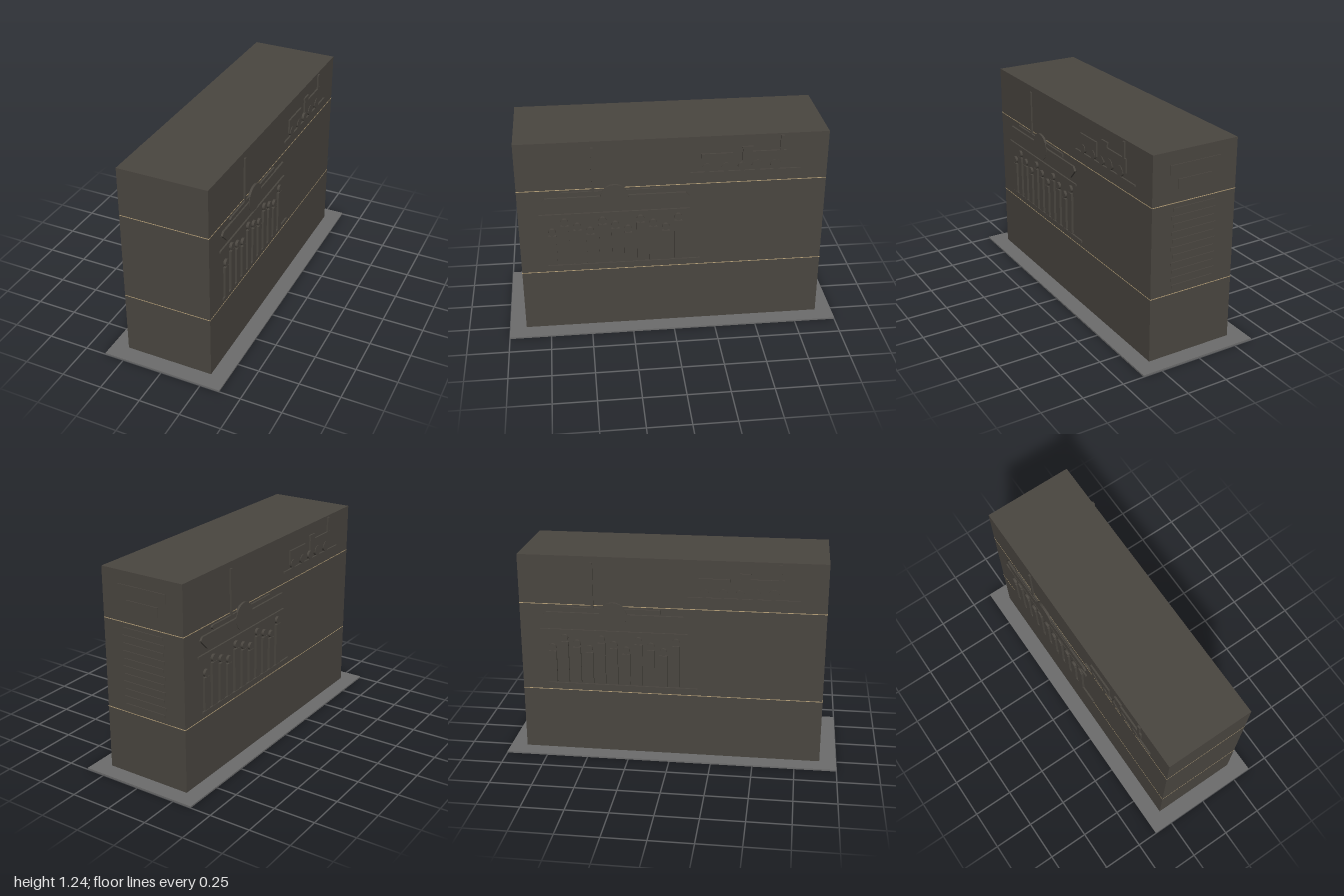
import * as THREE from 'three';

export function createModel() {
  const model = new THREE.Group();
  const mat = (name, color) => {
    const m = new THREE.MeshStandardMaterial({ color });
    m.name = name;
    return m;
  };
  const stone = mat('dark stone', 0x4a4640);
  const paving = mat('grey paving', 0x6c6c6c);
  const brass = mat('pale brass', 0xb8a27a);

  const add = (parent, name, geometry, material, x = 0, y = 0, z = 0) => {
    const mesh = new THREE.Mesh(geometry, material);
    mesh.name = name;
    mesh.position.set(x, y, z);
    parent.add(mesh);
    return mesh;
  };

  // Plinth and main block
  add(model, 'basePlate', new THREE.BoxGeometry(0.74, 0.01, 2), paving, 0, 0.005, 0);
  add(model, 'block', new THREE.BoxGeometry(0.54, 1.23, 1.8), stone, 0, 0.625, 0);
  for (const y of [0.4, 0.944]) {
    add(model, 'trimLine', new THREE.BoxGeometry(0.542, 0.004, 1.802), brass, 0, y, 0);
  }

  // Side relief, drawn in a plane: u runs along the wall, y is up, depth faces out
  function sideRelief() {
    const g = new THREE.Group();
    const bar = (name, u0, u1, y0, y1, depth = 0.01) =>
      add(g, name, new THREE.BoxGeometry(u1 - u0, y1 - y0, depth), stone,
        (u0 + u1) / 2, (y0 + y1) / 2, depth / 2);
    const disc = (name, u, y, r, depth = 0.014) =>
      add(g, name, new THREE.CylinderGeometry(r, r, depth, 24).rotateX(Math.PI / 2), stone, u, y, depth / 2);
    const plate = (name, points, depth = 0.012) => {
      const shape = new THREE.Shape(points.map(([u, y]) => new THREE.Vector2(u, y)));
      add(g, name, new THREE.ExtrudeGeometry(shape, { depth, bevelEnabled: false }), stone);
    };

    // Row of standing figures
    bar('figureGround', -0.743, 0.16, 0.433, 0.447);
    const tops = [0.65, 0.713, 0.681];
    for (let i = 0; i < 11; i++) {
      const u = -0.709 + i * 0.074;
      const top = tops[i % 3];
      bar('figureBody', u - 0.023, u + 0.023, 0.453, top, 0.014);
      disc('figureHead', u, top + 0.024, 0.022, 0.015);
    }

    // Boat with paddle box and funnel
    bar('waterLine', -0.78, 0.1, 0.778, 0.79);
    plate('boatHull', [[-0.76, 0.877], [-0.7, 0.815], [0.043, 0.815], [0.096, 0.872], [0.075, 0.897], [-0.743, 0.897]]);
    plate('boatDeck', [[-0.658, 0.922], [-0.642, 0.907], [-0.06, 0.907], [-0.06, 0.931], [-0.642, 0.931]], 0.01);
    disc('paddleBox', -0.34, 0.885, 0.083);
    bar('boatFunnel', -0.469, -0.455, 0.925, 1.203);

    // Train on its track
    bar('track', 0.1, 0.743, 1.01, 1.02);
    bar('wagonBody', 0.16, 0.342, 1.045, 1.134);
    for (const u of [0.195, 0.305]) disc('wagonWheel', u, 1.048, 0.027);
    bar('engineBoiler', 0.4, 0.652, 1.055, 1.138);
    bar('engineCab', 0.402, 0.456, 1.055, 1.162);
    bar('cabRoof', 0.396, 0.46, 1.157, 1.17);
    bar('engineChimney', 0.617, 0.637, 1.13, 1.23);
    for (const [u, r] of [[0.4, 0.026], [0.487, 0.032], [0.594, 0.032]]) {
      disc('engineWheel', u, 1.02 + r, r);
    }
    return g;
  }

  for (const side of [1, -1]) {
    const relief = sideRelief();
    relief.name = side > 0 ? 'leftRelief' : 'rightRelief';
    relief.rotation.y = side * Math.PI / 2;
    relief.position.x = side * 0.27;
    model.add(relief);
  }

  // Raised plain strips on the back
  const strip = (width, height, y) =>
    add(model, 'backStrip', new THREE.BoxGeometry(width, height, 0.005), stone, 0, y, -0.9025);
  strip(0.32, 0.055, 1.135);
  strip(0.215, 0.055, 1.05);
  for (let i = 0; i < 11; i++) {
    strip(0.27 + 0.02 * (i % 2), 0.02, 0.905 - i * 0.046);
  }
  return model;
}
